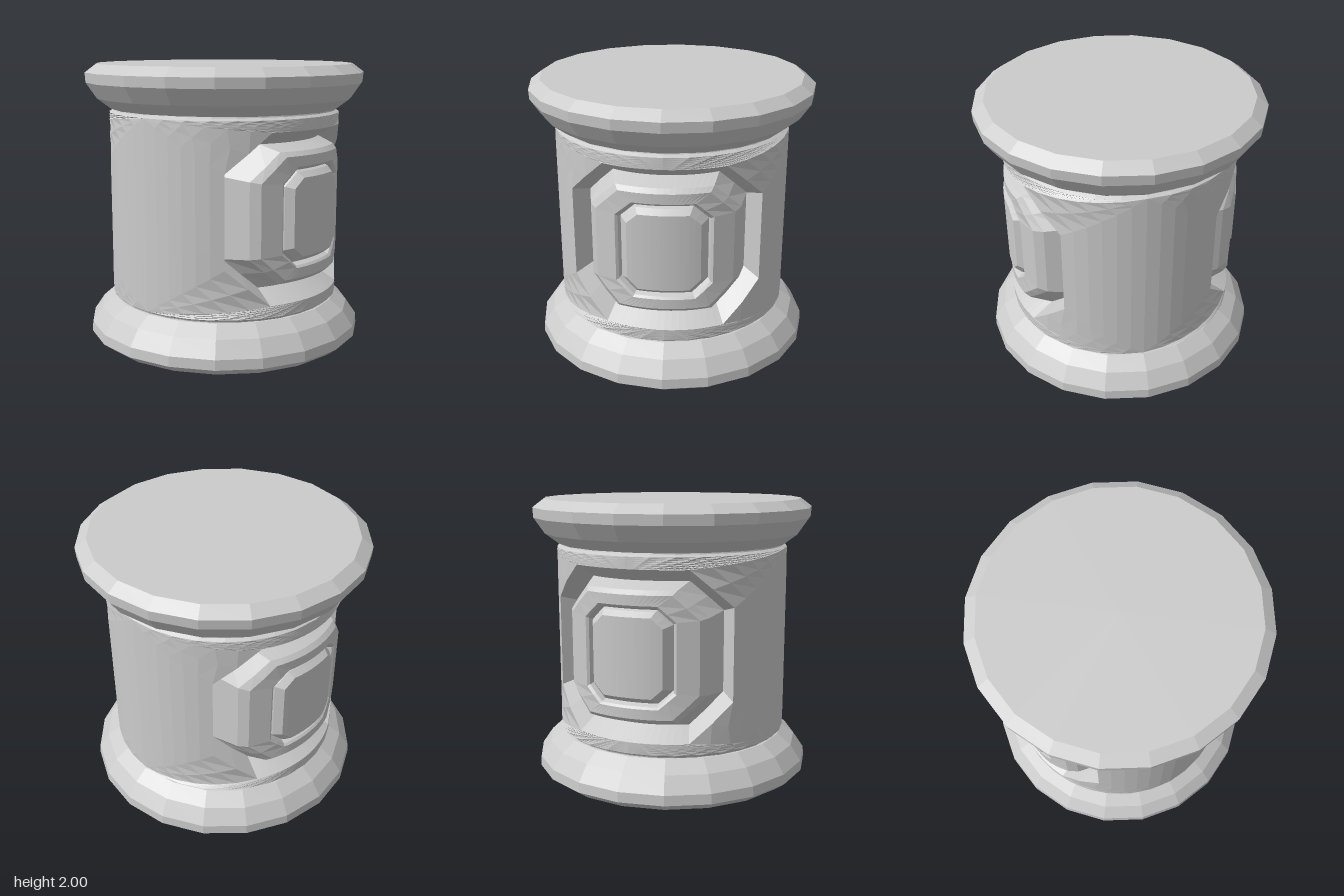
import * as THREE from 'three';

const BODY_R = 0.83;
const material = new THREE.MeshStandardMaterial({ color: 0xcccccc, flatShading: true });

function lathe(name, profile, segments) {
  const points = profile.map(([r, y]) => new THREE.Vector2(r, y));
  const mesh = new THREE.Mesh(new THREE.LatheGeometry(points, segments), material);
  mesh.name = name;
  return mesh;
}

// Corner-cut rectangle wrapped on a cylinder of radius r: half width w, half height h,
// cx / cy are where the straight edges end. Returns [angle, y, r] points, anticlockwise.
function octagon(w, h, cx, cy, r) {
  const corners = [[-cx, -h], [cx, -h], [w, -cy], [w, cy], [cx, h], [-cx, h], [-w, cy], [-w, -cy]]
    .map(([x, y]) => [Math.asin(x / r), y]);
  const steps = [16, 2, 4, 2, 16, 2, 4, 2];
  const loop = [];
  corners.forEach((a, i) => {
    const b = corners[(i + 1) % 8];
    for (let k = 0; k < steps[i]; k++) {
      const t = k / steps[i];
      loop.push([a[0] + (b[0] - a[0]) * t, 1 + a[1] + (b[1] - a[1]) * t, r]);
    }
  });
  return loop;
}

// Skin a list of nested loops, from the outermost to the innermost.
function skin(name, loops) {
  const n = loops[0].length;
  const positions = [];
  const index = [];
  for (const loop of loops) {
    for (const [angle, y, r] of loop) positions.push(r * Math.sin(angle), y, r * Math.cos(angle));
  }
  for (let j = 0; j < loops.length - 1; j++) {
    for (let i = 0; i < n; i++) {
      const a = j * n + i;
      const b = j * n + (i + 1) % n;
      index.push(a, b, b + n, a, b + n, a + n);
    }
  }
  const geometry = new THREE.BufferGeometry();
  geometry.setAttribute('position', new THREE.Float32BufferAttribute(positions, 3));
  geometry.setIndex(index);
  geometry.computeVertexNormals();
  const mesh = new THREE.Mesh(geometry, material);
  mesh.name = name;
  return mesh;
}

// Half of the drum with its carved medallion, facing +z
function createCarvedHalf() {
  const half = new THREE.Group();
  const edge = octagon(BODY_R, 0.66, BODY_R, 0.66, BODY_R);
  const opening = octagon(0.64, 0.58, 0.4, 0.32, BODY_R);
  const wall = [];
  for (let s = 0; s <= 6; s++) {
    wall.push(edge.map((p, i) => p.map((v, k) => v + (opening[i][k] - v) * s / 6)));
  }
  const groove = octagon(0.535, 0.49, 0.35, 0.28, 0.68);
  const socket = octagon(0.29, 0.315, 0.19, 0.22, 0.775);
  half.add(
    skin('drumWall', wall),
    skin('groove', [opening, groove]),
    skin('medallionFrame', [
      groove,
      octagon(0.5, 0.445, 0.32, 0.26, 0.8),
      octagon(0.46, 0.415, 0.3, 0.25, 0.83),
      octagon(0.325, 0.345, 0.21, 0.24, 0.83),
      octagon(0.305, 0.33, 0.2, 0.23, 0.815),
      socket,
    ]),
    skin('centrePanel', [
      socket,
      octagon(0.28, 0.305, 0.185, 0.215, 0.8),
      octagon(0.245, 0.27, 0.17, 0.2, 0.842),
      octagon(0.245, 0, 0.17, 0, 0.842),
    ]),
  );
  return half;
}

export function createModel() {
  const model = new THREE.Group();
  model.name = 'carvedColumn';

  // Front and back halves of the drum
  for (const [name, turn] of [['frontHalf', 0], ['backHalf', Math.PI]]) {
    const half = createCarvedHalf();
    half.name = name;
    half.rotation.y = turn;
    model.add(half);
  }

  // Twenty-sided base and its mirrored capital, with narrow necks against the drum
  const base = [[0, 0], [0.92, 0], [1, 0.06], [0.995, 0.13], [0.92, 0.24], [0.82, 0.315], [0.78, 0.32]];
  const neck = [[0.8, 0.31], [0.805, 0.325], [BODY_R, 0.34]];
  const flip = (profile) => profile.map(([r, y]) => [r, 2 - y]).reverse();
  model.add(
    lathe('base', base, 20),
    lathe('capital', flip(base), 20),
    lathe('lowerNeck', neck, 32),
    lathe('upperNeck', flip(neck), 32),
  );
  return model;
}
